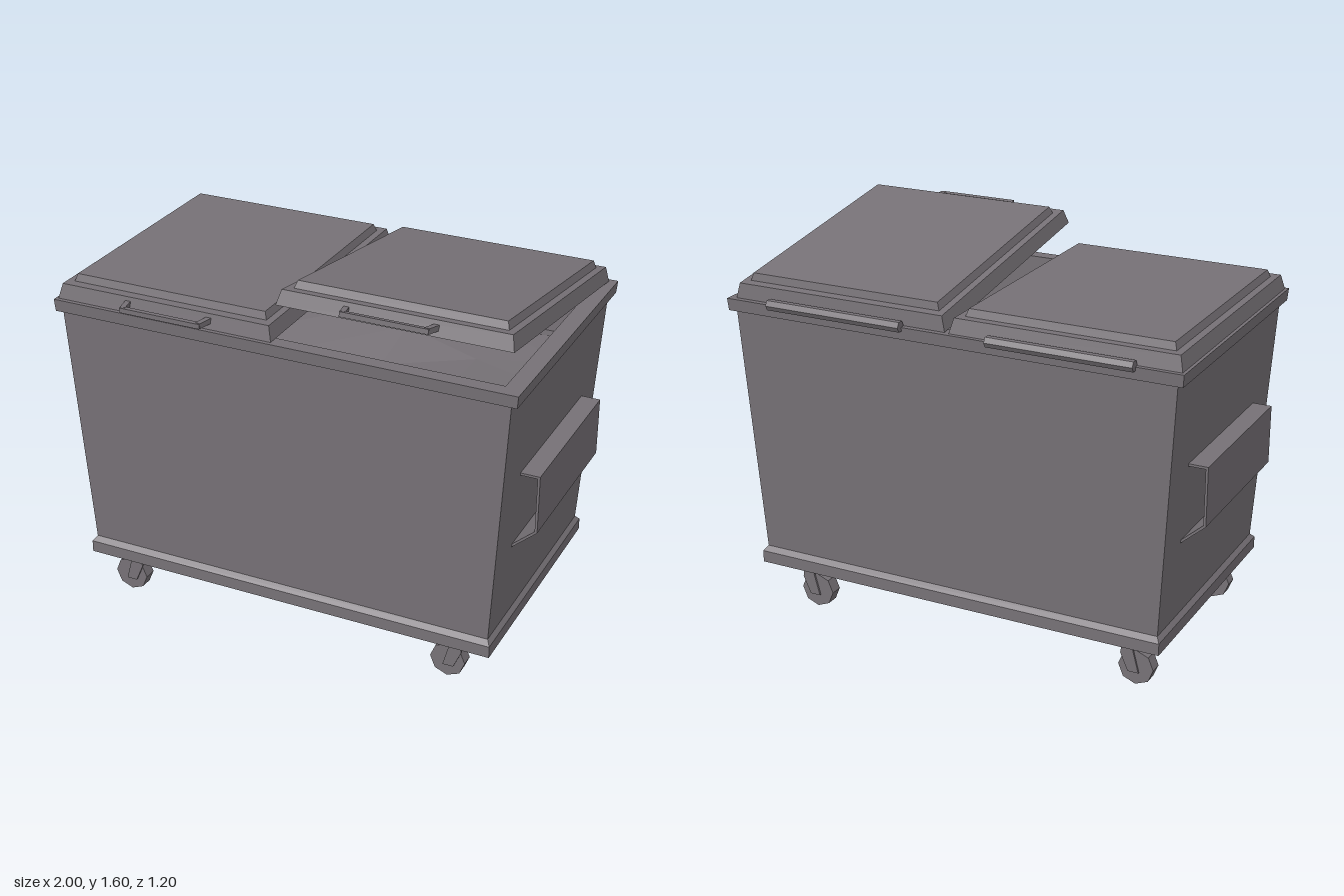
import * as THREE from 'three';

const steel = new THREE.MeshStandardMaterial({ color: 0x767176, flatShading: true });
steel.name = 'grey steel';

function add(parent, name, geometry, x = 0, y = 0, z = 0) {
  const mesh = new THREE.Mesh(geometry, steel);
  mesh.name = name;
  mesh.position.set(x, y, z);
  parent.add(mesh);
  return mesh;
}

// Skin a stack of rectangles [x0, x1, z0, z1, y]; optional caps on first and last
function loft(rings, capStart = true, capEnd = true) {
  const pos = [], idx = [];
  rings.forEach(([x0, x1, z0, z1, y]) => pos.push(x0, y, z1, x1, y, z1, x1, y, z0, x0, y, z0));
  for (let r = 0; r < rings.length - 1; r++) {
    for (let i = 0; i < 4; i++) {
      const a = r * 4 + i, b = r * 4 + (i + 1) % 4;
      idx.push(a, b, b + 4, a, b + 4, a + 4);
    }
  }
  if (capStart) idx.push(0, 2, 1, 0, 3, 2);
  const e = (rings.length - 1) * 4;
  if (capEnd) idx.push(e, e + 1, e + 2, e, e + 2, e + 3);
  const g = new THREE.BufferGeometry();
  g.setAttribute('position', new THREE.Float32BufferAttribute(pos, 3));
  g.setIndex(idx);
  const flat = g.toNonIndexed();
  flat.computeVertexNormals();
  return flat;
}

// Extrude an outline of [x, y] points along z, centred on z = 0
function plate(points, depth) {
  const shape = new THREE.Shape(points.map(([x, y]) => new THREE.Vector2(x, y)));
  return new THREE.ExtrudeGeometry(shape, { depth, bevelEnabled: false }).translate(0, 0, -depth / 2);
}

// Square bar between two points
function bar(parent, name, from, to, size) {
  const a = new THREE.Vector3(...from), b = new THREE.Vector3(...to);
  const mesh = add(parent, name, new THREE.BoxGeometry(size, size, a.distanceTo(b)));
  mesh.position.copy(a).add(b).multiplyScalar(0.5);
  mesh.lookAt(b);
}

// Lid with its hinge line at the local origin and a pull handle in front
function makeLid(name, handleX) {
  const lid = new THREE.Group();
  lid.name = name;
  add(lid, 'lidPanel', loft([
    [-0.47, 0.47, 0, 1.1, 0],
    [-0.455, 0.455, 0.015, 1.085, 0.06],
    [-0.425, 0.425, 0.05, 1.045, 0.06],
    [-0.415, 0.415, 0.06, 1.035, 0.09],
  ]));
  const y = 0.033;
  for (const s of [-1, 1]) {
    bar(lid, 'handleArm', [handleX + s * 0.18, y, 1.08], [handleX + s * 0.165, y, 1.15], 0.022);
  }
  bar(lid, 'handleGrip', [handleX - 0.175, y, 1.148], [handleX + 0.175, y, 1.148], 0.02);
  return lid;
}

function makeCaster() {
  const caster = new THREE.Group();
  caster.name = 'caster';
  add(caster, 'stem', new THREE.CylinderGeometry(0.018, 0.018, 0.05, 8), 0, 0.18, 0);
  add(caster, 'forkBridge', new THREE.BoxGeometry(0.042, 0.012, 0.075), 0.001, 0.161, 0);
  const fork = [[-0.05, 0.055], [-0.005, 0.055], [0.028, 0.13], [0.022, 0.167], [-0.02, 0.167]];
  for (const s of [-1, 1]) add(caster, 'forkPlate', plate(fork, 0.008), 0, 0, s * 0.034);
  const wheel = new THREE.CylinderGeometry(0.074, 0.074, 0.054, 8).rotateX(Math.PI / 2);
  add(caster, 'wheel', wheel, -0.034, 0.074, 0);
  add(caster, 'axle', new THREE.CylinderGeometry(0.012, 0.012, 0.076, 6).rotateX(Math.PI / 2), -0.03, 0.074, 0);
  return caster;
}

export function createModel() {
  const model = new THREE.Group();
  model.name = 'wasteContainer';

  // Base flange, tapered hollow body and top rim
  add(model, 'baseFlange', loft([
    [-0.895, 0.895, -0.535, 0.525, 0.2],
    [-0.895, 0.895, -0.535, 0.525, 0.25],
    [-0.88, 0.88, -0.515, 0.505, 0.27],
  ]));
  add(model, 'body', loft([
    [-0.88, 0.88, -0.515, 0.505, 0.27],
    [-0.942, 0.942, -0.555, 0.54, 1.31],
  ], false, false));
  add(model, 'rim', loft([
    [-0.942, 0.942, -0.555, 0.54, 1.31],
    [-0.968, 0.968, -0.572, 0.553, 1.31],
    [-0.972, 0.972, -0.576, 0.556, 1.36],
    [-0.9, 0.9, -0.515, 0.495, 1.36],
  ], false, false));
  add(model, 'innerWalls', loft([
    [-0.9, 0.9, -0.515, 0.495, 1.36],
    [-0.86, 0.86, -0.495, 0.485, 0.29],
  ], false, true));

  // Lumpy contents just below the rim
  const heap = new THREE.PlaneGeometry(1.78, 0.99, 6, 4).rotateX(-Math.PI / 2);
  const p = heap.attributes.position;
  for (let i = 0; i < p.count; i++) {
    const x = p.getX(i), z = p.getZ(i);
    const mound = (1 - (x / 0.89) ** 2) * (1 - (z / 0.495) ** 2);
    p.setY(i, 0.14 * mound + 0.04 * Math.sin(x * 9 + z * 13) * mound);
  }
  heap.computeVertexNormals();
  add(model, 'contents', heap, 0, 1.12, -0.01);

  // Lids: one shut, one propped open
  const shut = makeLid('closedLid', 0.022);
  shut.position.set(-0.49, 1.361, -0.56);
  const open = makeLid('openLid', -0.01);
  open.position.set(0.47, 1.361, -0.555);
  open.rotation.x = -THREE.MathUtils.degToRad(8.1);
  model.add(shut, open);

  // Hinge rods along the back
  for (const x of [-0.488, 0.473]) {
    const rod = new THREE.CylinderGeometry(0.023, 0.023, 0.595, 6).rotateZ(Math.PI / 2);
    add(model, 'hingeRod', rod, x, 1.365, -0.582);
  }

  // Folded sheet fork pockets on both ends
  const pocket = [
    [0.915, 0.93], [0.998, 0.93], [0.998, 0.686], [0.898, 0.598],
    [0.898, 0.611], [0.988, 0.691], [0.988, 0.92], [0.915, 0.92],
  ];
  for (const s of [1, -1]) {
    const mesh = add(model, s > 0 ? 'leftForkPocket' : 'rightForkPocket', plate(pocket, 0.7), 0, 0, -0.01);
    if (s < 0) mesh.rotation.y = Math.PI;
  }

  // Four casters, all trailing the same way
  for (const x of [-0.732, 0.724]) {
    for (const z of [-0.418, 0.41]) {
      const caster = makeCaster();
      caster.position.set(x, 0, z);
      model.add(caster);
    }
  }
  return model;
}
